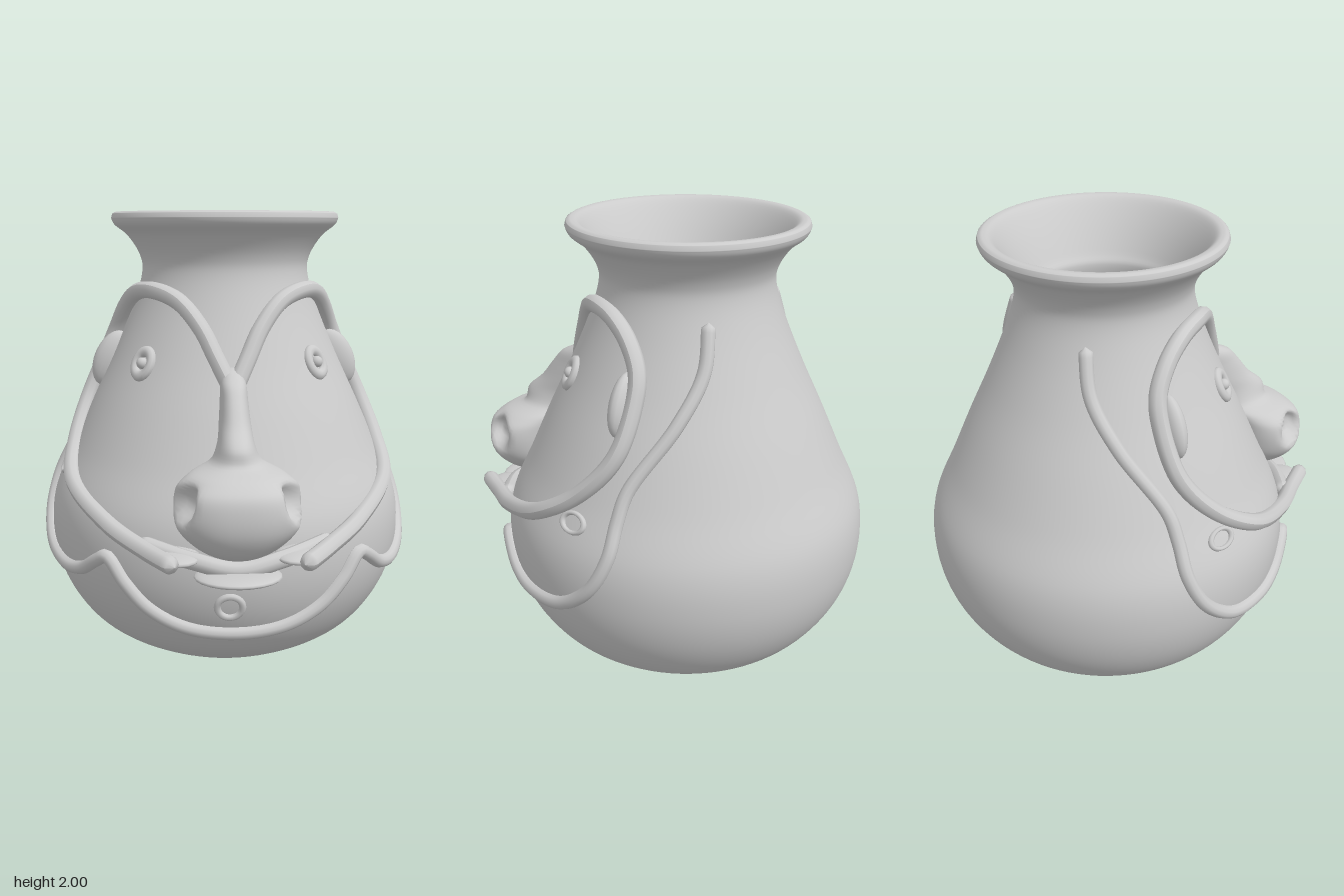
import * as THREE from 'three';

const AXIS = -0.11; // z of the pot's turning axis
const mat = new THREE.MeshStandardMaterial({ color: 0xcccccc, side: THREE.DoubleSide });
const V = (x, y, z) => new THREE.Vector3(x, y, z);

// Outer profile [radius, height], from the base to the neck and the rim
const outer = new THREE.SplineCurve([
  [0, 0], [0.1, 0.005], [0.22, 0.035], [0.38, 0.09], [0.56, 0.19], [0.67, 0.3], [0.75, 0.45], [0.783, 0.62],
  [0.765, 0.8], [0.675, 1.0], [0.585, 1.2], [0.49, 1.4], [0.405, 1.6], [0.362, 1.74], [0.37, 1.82],
  [0.42, 1.9], [0.475, 1.945], [0.49, 1.975],
].map(p => new THREE.Vector2(...p))).getPoints(110);

const inner = new THREE.SplineCurve([
  [0.485, 1.992], [0.465, 2.0], [0.43, 1.985], [0.37, 1.9], [0.31, 1.79], [0.287, 1.73], [0.33, 1.6], [0.51, 1.2],
  [0.68, 0.8], [0.69, 0.6], [0.6, 0.32], [0.4, 0.17], [0.2, 0.11], [0, 0.1],
].map(p => new THREE.Vector2(...p))).getPoints(70);

function radiusAt(y) {
  for (let i = 1; i < outer.length; i++) {
    const a = outer[i - 1], b = outer[i];
    if (b.y >= y) return a.x + (b.x - a.x) * (y - a.y) / (b.y - a.y);
  }
  return 0.49;
}

// Point on the pot: degrees round from the front, height, distance off the surface
function onPot(deg, y, off = 0) {
  const t = deg * Math.PI / 180, r = radiusAt(y) + off;
  return V(Math.sin(t) * r, y, AXIS + Math.cos(t) * r);
}

function add(parent, name, geometry) {
  const mesh = new THREE.Mesh(geometry, mat);
  mesh.name = name;
  parent.add(mesh);
  return mesh;
}

// Rounded clay roll along a path, narrowing to closed ends
function roll(points, radius, segments) {
  const curve = new THREE.CatmullRomCurve3(points);
  const sides = 10, g = new THREE.TubeGeometry(curve, segments, radius, sides);
  const p = g.attributes.position, v = V(0, 0, 0), c = V(0, 0, 0);
  for (let i = 0; i <= segments; i++) {
    const d = Math.min(i, segments - i) / segments * curve.getLength() / radius;
    const f = d < 1 ? Math.sqrt(1 - (1 - d) ** 2) : 1;
    curve.getPointAt(i / segments, c);
    for (let j = 0; j <= sides; j++) {
      const k = i * (sides + 1) + j;
      v.fromBufferAttribute(p, k).sub(c).multiplyScalar(f).add(c);
      p.setXYZ(k, v.x, v.y, v.z);
    }
  }
  g.computeVertexNormals();
  return g;
}

// Group lying flat on the pot, its z axis pointing outward
function patch(parent, name, deg, y) {
  const g = new THREE.Group();
  g.name = name;
  g.position.copy(onPot(deg, y));
  const slope = (radiusAt(y + 0.03) - radiusAt(y - 0.03)) / 0.06;
  g.rotation.set(Math.atan(slope), deg * Math.PI / 180, 0, 'YXZ');
  parent.add(g);
  return g;
}

// Nose lofted through oval sections, with a hollow pressed in each side
function noseGeometry() {
  // height, back z, front z, half width
  const rows = [
    [0.715, 0.68, 0.74, 0.02], [0.73, 0.63, 0.79, 0.09], [0.77, 0.58, 0.84, 0.165], [0.84, 0.55, 0.88, 0.23],
    [0.92, 0.54, 0.89, 0.25], [0.99, 0.53, 0.875, 0.235], [1.035, 0.51, 0.82, 0.18], [1.07, 0.49, 0.735, 0.1],
    [1.13, 0.45, 0.72, 0.072], [1.2, 0.4, 0.64, 0.062], [1.28, 0.36, 0.575, 0.055], [1.34, 0.34, 0.52, 0.05],
    [1.39, 0.33, 0.41, 0.03],
  ];
  const path = k => new THREE.CatmullRomCurve3(rows.map(r => V(r[k], r[0], 0)));
  const [back, front, half] = [1, 2, 3].map(path);
  const N = 56, M = 48, pos = [], idx = [];
  for (let i = 0; i <= N; i++) {
    const b = back.getPoint(i / N), f = front.getPoint(i / N).x, w = half.getPoint(i / N).x;
    for (let j = 0; j < M; j++) {
      const t = j / M * Math.PI * 2, s = Math.sin(t), c = Math.cos(t);
      let x = w * Math.sign(s) * Math.abs(s) ** 0.85;
      const z = (b.x + f) / 2 + (f - b.x) / 2 * c;
      const d = Math.hypot(b.y - 0.945, z - 0.765) / 0.065;
      if (Math.abs(x) > 0.05) x -= Math.sign(x) * 0.09 * Math.exp(-(d ** 4));
      pos.push(x, b.y, z);
      if (i < N) {
        const a = i * M + j, e = i * M + (j + 1) % M;
        idx.push(a, e, a + M, e, e + M, a + M);
      }
    }
  }
  for (const [row, y, z] of [[0, 0.713, 0.71], [N, 1.395, 0.37]]) {
    const tip = pos.length / 3;
    pos.push(0, y, z);
    for (let j = 0; j < M; j++) {
      const a = row * M + j, e = row * M + (j + 1) % M;
      row ? idx.push(a, e, tip) : idx.push(e, a, tip);
    }
  }
  const g = new THREE.BufferGeometry();
  g.setAttribute('position', new THREE.Float32BufferAttribute(pos, 3));
  g.setIndex(idx);
  g.computeVertexNormals();
  return g;
}

export function createModel() {
  const model = new THREE.Group();
  model.name = 'facePot';

  // Hollow turned body
  add(model, 'potBody', new THREE.LatheGeometry([...outer, ...inner], 96)).position.z = AXIS;

  add(model, 'nose', noseGeometry());

  // Degrees, height, distance off the surface
  const faceLine = [
    [0, 1.3, 0.01], [7, 1.42, 0.01], [16, 1.54, 0.01], [31, 1.64, 0.01], [53, 1.68, 0.012], [73, 1.665, 0.02],
    [87, 1.6, 0.03], [95, 1.5, 0.035], [96, 1.4, 0.035], [92, 1.2, 0.025], [80, 1.03, 0.01], [64, 0.9, 0.01], [40, 0.785, 0.01],
  ];
  const collarLine = [
    [0, 0.36], [16, 0.385], [27, 0.46], [34, 0.56], [40, 0.655], [44, 0.63], [52, 0.565], [63, 0.54], [79, 0.58],
    [90, 0.7], [95, 0.84], [96, 0.97], [98, 1.08], [114, 1.32], [126, 1.5], [130, 1.68],
  ];

  for (const s of [-1, 1]) {
    const side = s > 0 ? 'left' : 'right';

    // Raised outline of the face, running out into a free lip tip
    const line = faceLine.map(([a, y, o]) => onPot(a * s, y, o));
    line.push(V(0.35 * s, 0.735, 0.67), V(0.24 * s, 0.72, 0.82));
    add(model, side + 'FaceRidge', roll(line, 0.036, 150));

    // Ragged flap on the outline
    const ear = patch(model, side + 'Ear', 89 * s, 1.37);
    add(ear, 'earFlap', new THREE.SphereGeometry(1, 16, 12)).scale.set(0.045, 0.13, 0.075);

    // Web behind the lip tip
    const web = add(model, side + 'LipCorner', new THREE.SphereGeometry(1, 20, 12));
    web.scale.set(0.1, 0.025, 0.14);
    web.position.set(0.25 * s, 0.715, 0.66);
    web.rotation.y = -0.45 * s;

    // Eye: ring with a round pupil
    const eye = patch(model, side + 'Eye', 46 * s, 1.39);
    add(eye, 'eyeRing', new THREE.TorusGeometry(0.044, 0.02, 10, 28)).scale.y = 1.2;
    add(eye, 'pupil', new THREE.SphereGeometry(0.024, 14, 10)).position.z = 0.008;

    const button = patch(model, side + 'Button', 80 * s, 0.92);
    add(button, 'buttonRing', new THREE.TorusGeometry(0.055, 0.013, 8, 28)).scale.y = 0.7;
  }

  // Scalloped collar, one roll from shoulder to shoulder
  const half = collarLine.map(([a, y]) => onPot(a, y, 0.008));
  const mirrored = half.slice(1).reverse().map(p => V(-p.x, p.y, p.z));
  add(model, 'collarRidge', roll([...mirrored, ...half], 0.028, 260));

  const button = patch(model, 'frontButton', -2, 0.49);
  add(button, 'buttonRing', new THREE.TorusGeometry(0.05, 0.014, 8, 28));

  // Lips
  const upper = [[-0.38, 0.745, 0.6], [-0.17, 0.705, 0.71], [0, 0.675, 0.74], [0.17, 0.705, 0.71], [0.38, 0.745, 0.6]];
  add(model, 'upperLip', roll(upper.map(p => V(...p)), 0.035, 50));
  const lower = add(model, 'lowerLip', new THREE.SphereGeometry(1, 24, 14));
  lower.scale.set(0.17, 0.026, 0.16);
  lower.position.set(0, 0.645, 0.72);
  lower.rotation.x = -0.08;

  return model;
}
